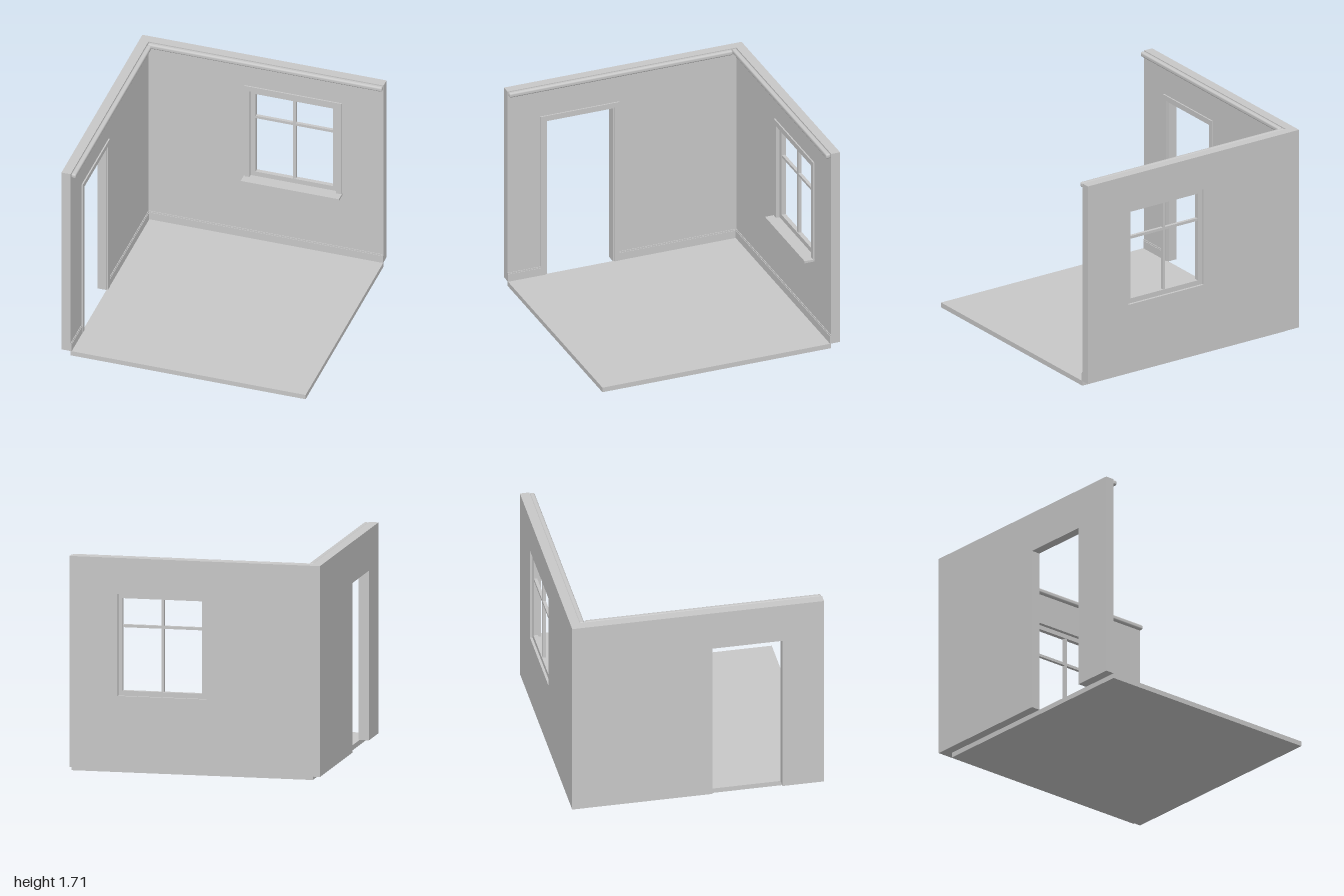
import * as THREE from 'three';
import { RoundedBoxGeometry } from 'three/addons/geometries/RoundedBoxGeometry.js';

export function createModel() {
  const room = new THREE.Group();
  room.name = 'roomCorner';
  const plaster = new THREE.MeshStandardMaterial({ color: 0xc8c8c8 });
  plaster.name = 'plasterGrey';

  const add = (parent, name, geometry) => {
    const mesh = new THREE.Mesh(geometry, plaster);
    mesh.name = name;
    parent.add(mesh);
    return mesh;
  };
  // Box given by its lower and upper corners
  const box = (parent, name, [x0, y0, z0], [x1, y1, z1]) =>
    add(parent, name, new THREE.BoxGeometry(x1 - x0, y1 - y0, z1 - z0)
      .translate((x0 + x1) / 2, (y0 + y1) / 2, (z0 + z1) / 2));
  const group = (name) => {
    const g = new THREE.Group();
    g.name = name;
    room.add(g);
    return g;
  };

  const FLOOR = 0.04, TOP = 1.705, INNER = -0.925;

  box(room, 'floor', [INNER, 0, INNER], [1, FLOOR, 1]);

  // Back wall with a window opening
  const W = { l: -0.095, r: 0.615, b: 0.615, t: 1.42 };
  const rect = (T, l, b, r, t) => {
    const s = new T();
    s.moveTo(l, b).lineTo(r, b).lineTo(r, t).lineTo(l, t).closePath();
    return s;
  };
  const backShape = rect(THREE.Shape, -1, FLOOR, 1, TOP);
  backShape.holes.push(rect(THREE.Path, W.l, W.b, W.r, W.t));
  add(room, 'backWall', new THREE.ExtrudeGeometry(backShape, { depth: 0.075, bevelEnabled: false })
    .translate(0, 0, -1));

  // Side wall with a doorway open at the floor; shape x runs along -z
  const D = { near: 0.67, far: 0.115, t: 1.38 };
  const sideShape = new THREE.Shape();
  [[-1, FLOOR], [-D.near, FLOOR], [-D.near, D.t], [-D.far, D.t], [-D.far, FLOOR],
    [-INNER, FLOOR], [-INNER, TOP], [-1, TOP]]
    .forEach(([x, y], i) => (i ? sideShape.lineTo(x, y) : sideShape.moveTo(x, y)));
  sideShape.closePath();
  add(room, 'sideWall', new THREE.ExtrudeGeometry(sideShape, { depth: 0.075, bevelEnabled: false })
    .rotateY(Math.PI / 2).translate(-1, 0, 0));

  // Window sash, glazing bars, casing and sill
  const win = group('window');
  const sashShape = rect(THREE.Shape, W.l, W.b, W.r, W.t);
  sashShape.holes.push(rect(THREE.Path, -0.055, 0.655, 0.58, 1.385));
  add(win, 'sash', new THREE.ExtrudeGeometry(sashShape, { depth: 0.035, bevelEnabled: false })
    .translate(0, 0, -0.98));
  box(win, 'verticalBar', [0.25, 0.655, -0.975], [0.273, 1.385, -0.95]);
  box(win, 'crossBar', [-0.055, 1.155, -0.975], [0.58, 1.177, -0.95]);
  const CASING = INNER + 0.011;
  box(win, 'casingLeft', [-0.137, W.b, INNER], [W.l, W.t, CASING]);
  box(win, 'casingRight', [W.r, W.b, INNER], [0.657, W.t, CASING]);
  box(win, 'casingTop', [-0.137, W.t, INNER], [0.657, 1.465, CASING]);
  box(win, 'sill', [-0.143, 0.597, INNER], [0.662, W.b, -0.842]);

  // Door casing, set slightly back from the opening
  const door = group('doorCasing');
  box(door, 'casingNear', [INNER, FLOOR, 0.684], [CASING, 1.39, 0.727]);
  box(door, 'casingFar', [INNER, FLOOR, 0.062], [CASING, 1.39, 0.104]);
  box(door, 'casingTop', [INNER, 1.39, 0.062], [CASING, 1.432, 0.727]);

  // Skirting boards: lower board plus a thinner top edge
  const skirting = group('skirting');
  for (const [y0, y1, d] of [[FLOOR, 0.104, 0.009], [0.104, 0.115, 0.005]]) {
    box(skirting, 'skirtingBack', [INNER, y0, INNER], [1, y1, INNER + d]);
    box(skirting, 'skirtingFar', [INNER, y0, INNER], [INNER + d, y1, 0.062]);
    box(skirting, 'skirtingNear', [INNER, y0, 0.727], [INNER + d, y1, 1]);
  }

  // Rounded cornice rails along the wall tops
  const rail = (name, w, d, x, z) =>
    add(room, name, new RoundedBoxGeometry(w, 0.04, d, 4, 0.014)).position.set(x, TOP - 0.02, z);
  rail('corniceBack', 1.922, 0.04, 0.037, -0.905);
  rail('corniceSide', 0.04, 1.88, -0.905, 0.057);

  return room;
}
